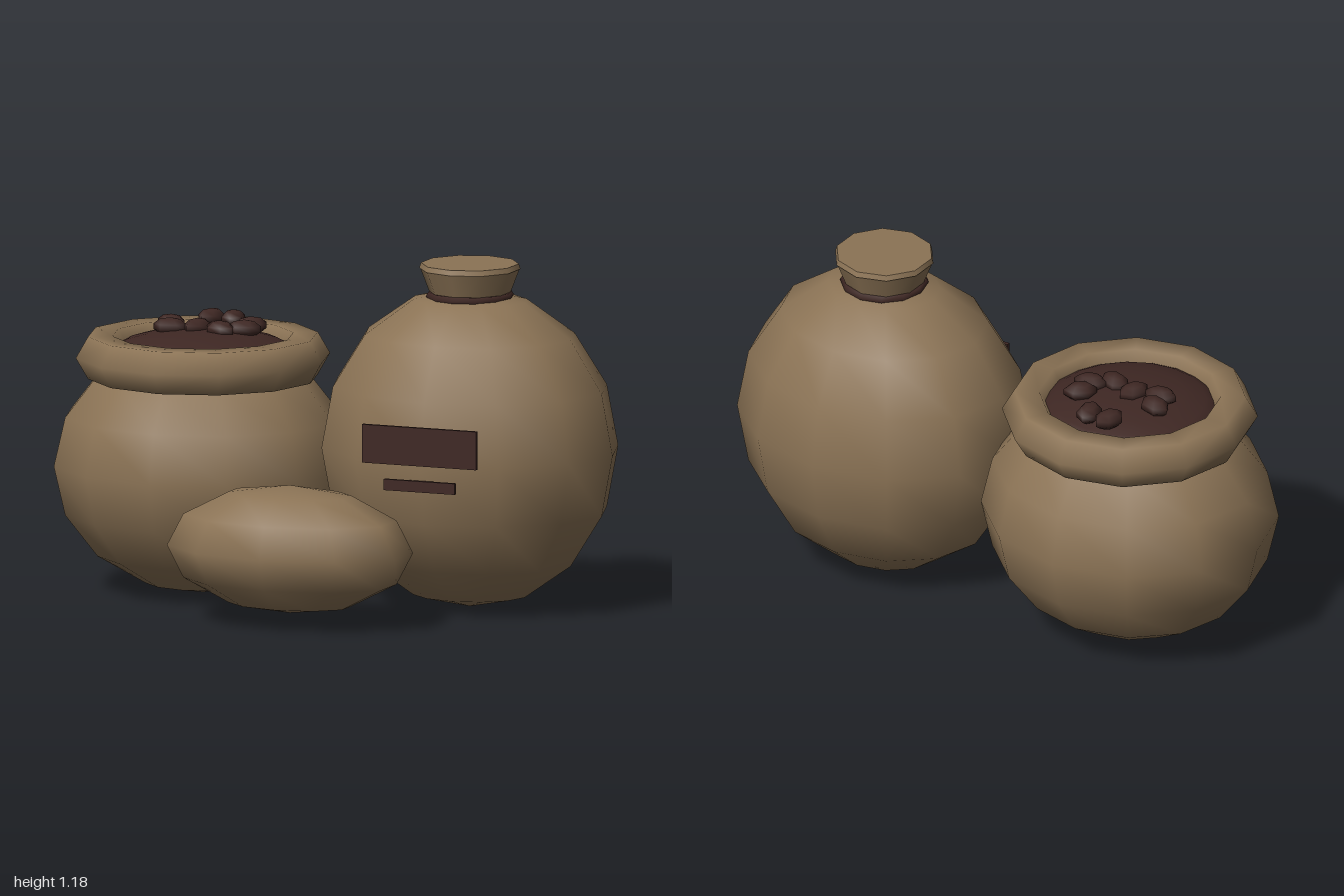
import * as THREE from 'three';

export function createModel() {
  const model = new THREE.Group();
  const burlap = new THREE.MeshStandardMaterial({ color: 0x8b7355 });
  burlap.name = 'burlap';
  const darkBrown = new THREE.MeshStandardMaterial({ color: 0x3e2723 });
  darkBrown.name = 'darkBrown';

  const add = (parent, name, geometry, material, x = 0, y = 0, z = 0) => {
    const mesh = new THREE.Mesh(geometry, material);
    mesh.name = name;
    mesh.position.set(x, y, z);
    parent.add(mesh);
    return mesh;
  };
  const group = (name, x, z) => {
    const g = new THREE.Group();
    g.name = name;
    g.position.set(x, 0, z);
    model.add(g);
    return g;
  };
  const ellipsoid = (rx, ry, rz, segments, rows) =>
    new THREE.SphereGeometry(1, segments, rows).scale(rx, ry, rz);
  const ring = (radius, tube, sides, segments) =>
    new THREE.TorusGeometry(radius, tube, sides, segments).rotateX(Math.PI / 2);

  // Open sack: body, rolled rim and domed filling
  const open = group('openSack', -0.48, -0.13);
  add(open, 'openSackBody', ellipsoid(0.52, 0.44, 0.475, 12, 8), burlap, 0, 0.445, 0);
  add(open, 'rolledRim', ring(0.352, 0.084, 6, 12), burlap, 0, 0.82, 0);
  add(open, 'beanFilling', ellipsoid(0.32, 0.09, 0.32, 20, 10), darkBrown, 0, 0.82, 0);

  // Loose beans on the filling: x, z, turn
  const beans = [
    [-0.06, -0.22, 1.3], [0.02, -0.22, 1.75], [0.13, -0.11, 0.7], [0.135, -0.04, 0.3],
    [-0.14, -0.057, -0.25], [-0.116, 0.012, 0.2], [-0.025, -0.014, 1.2], [0.066, 0.007, -0.3],
  ];
  const beanGeometry = ellipsoid(0.06, 0.032, 0.042, 6, 5);
  for (const [x, z, turn] of beans) {
    add(open, 'bean', beanGeometry, darkBrown, x, 0.914, z).rotation.y = turn;
  }

  // Tall tied sack: body, cord and flared neck
  const tied = group('tiedSack', 0.47, -0.208);
  add(tied, 'tiedSackBody', ellipsoid(0.525, 0.55, 0.44, 12, 8), burlap, 0, 0.555, 0);
  add(tied, 'tieCord', ring(0.135, 0.016, 6, 12), darkBrown, 0, 1.076, 0);
  add(tied, 'flaredNeck', new THREE.CylinderGeometry(0.17, 0.128, 0.11, 10, 1, true), burlap, 0, 1.115, 0);
  add(tied, 'neckLip', new THREE.CylinderGeometry(0.167, 0.173, 0.018, 10), burlap, 0, 1.178, 0);

  // Two label plates standing just off the front
  add(tied, 'mainLabel', new THREE.BoxGeometry(0.42, 0.132, 0.014), darkBrown, 0, 0.622, 0.445);
  add(tied, 'smallLabel', new THREE.BoxGeometry(0.26, 0.038, 0.014), darkBrown, 0, 0.485, 0.444);

  // Small sack lying in front
  const lyingBody = new THREE.SphereGeometry(1, 10, 6).rotateY(Math.PI / 2).scale(0.44, 0.22, 0.27);
  add(model, 'lyingSack', lyingBody, burlap, 0.05, 0.265, 0.375);

  return model;
}
